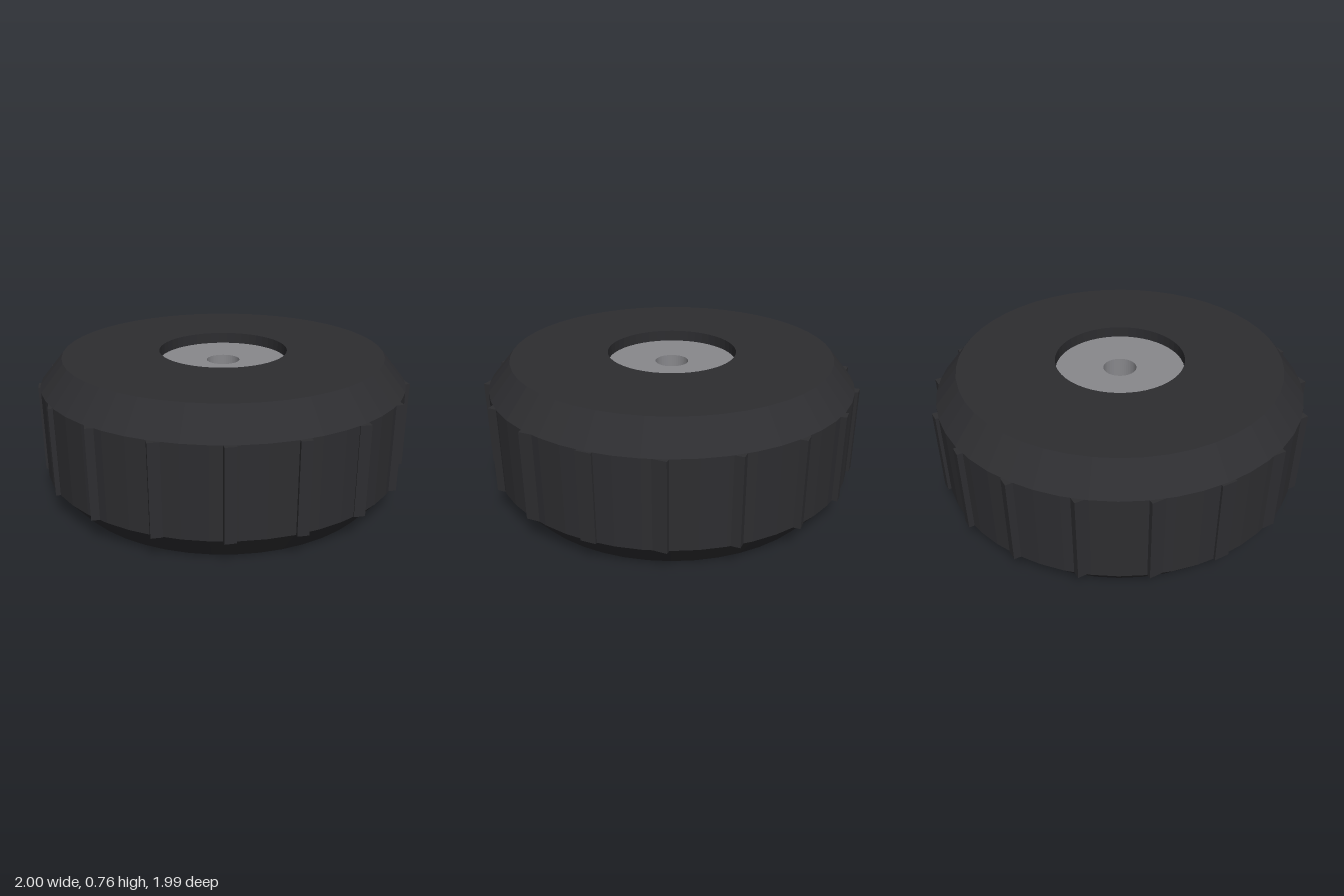
import * as THREE from 'three';

const HEIGHT = 0.76;
const SEGMENTS = 48;

// Closed ring of revolution around the y axis, profile counter-clockwise
function turned(name, points, material) {
  const profile = points.map(([r, y]) => new THREE.Vector2(r, y));
  const mesh = new THREE.Mesh(new THREE.LatheGeometry(profile, SEGMENTS), material);
  mesh.name = name;
  return mesh;
}

export function createModel() {
  const model = new THREE.Group();
  model.name = 'wheel';
  const rubber = new THREE.MeshStandardMaterial({ color: 0x2d2d30, flatShading: true });
  const metal = new THREE.MeshStandardMaterial({ color: 0x88888c, flatShading: true });

  // Tyre with chamfered shoulders and a round opening
  const chamfer = 0.145;
  model.add(turned('tyre', [
    [0.35, 0], [0.87, 0], [0.99, chamfer], [0.99, HEIGHT - chamfer],
    [0.87, HEIGHT], [0.35, HEIGHT], [0.35, 0],
  ], rubber));

  // Hub recessed on both sides, with a blind axle hole in each face
  const recess = 0.06, mid = HEIGHT / 2;
  model.add(turned('hub', [
    [0, mid - 0.01], [0.09, mid - 0.01], [0.09, recess], [0.35, recess],
    [0.35, HEIGHT - recess], [0.09, HEIGHT - recess], [0.09, mid + 0.01], [0, mid + 0.01],
  ], metal));

  // Tread ribs: square to the axes, spaced evenly around the tyre
  const treads = new THREE.Group();
  treads.name = 'treadRibs';
  const ribGeometry = new THREE.BoxGeometry(0.057, HEIGHT - 2 * chamfer, 0.08);
  const count = 18;
  for (let i = 0; i < count; i++) {
    const angle = (i / count) * Math.PI * 2;
    const rib = new THREE.Mesh(ribGeometry, rubber);
    rib.name = 'treadRib';
    rib.position.set(0.9715 * Math.cos(angle), mid, 0.9715 * Math.sin(angle));
    treads.add(rib);
  }
  model.add(treads);
  return model;
}
